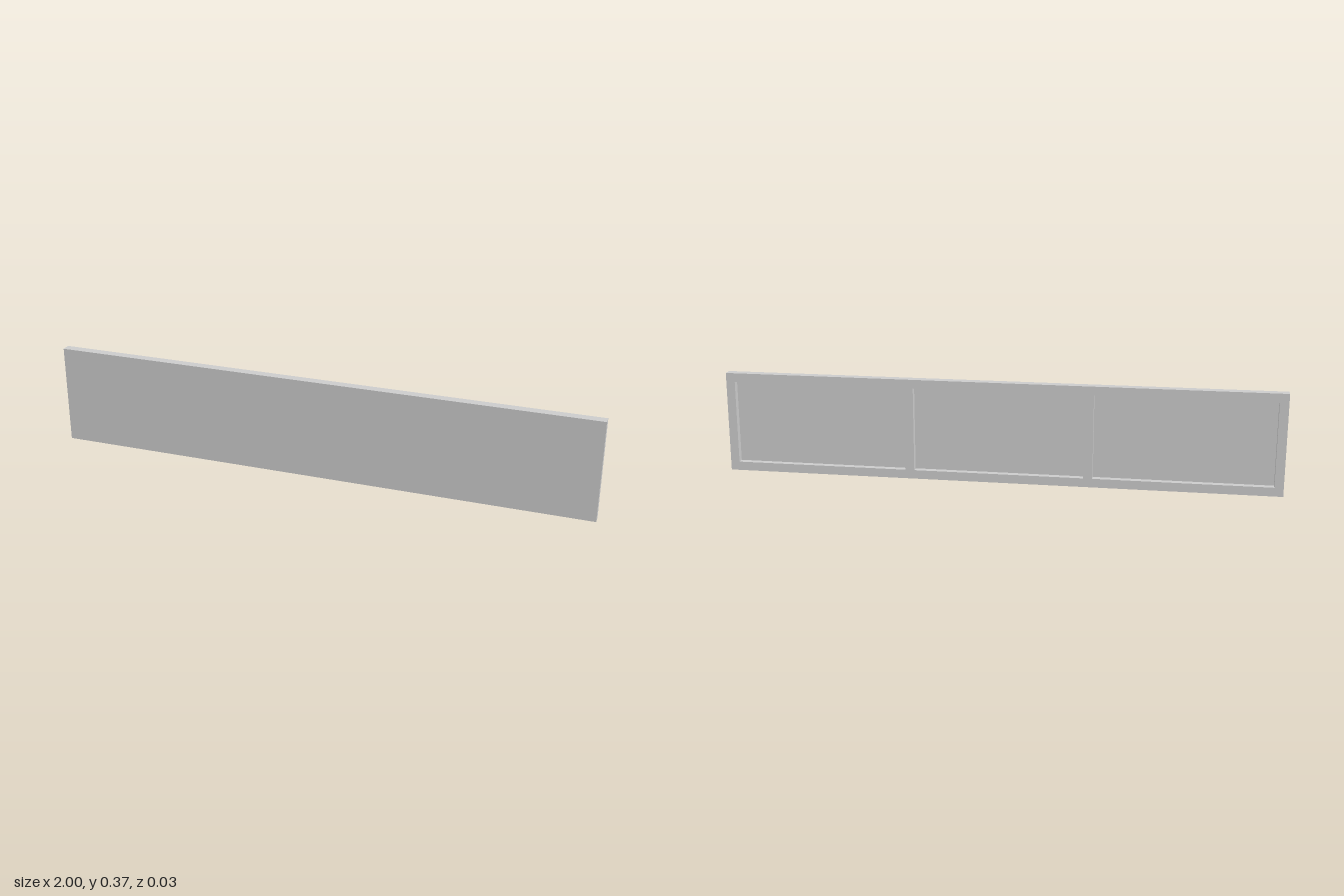
import * as THREE from 'three';

const WIDTH = 2, HEIGHT = 0.367, DEPTH = 0.033;
const RIM = 0.032;      // border and divider width
const RECESS = 0.023;   // depth of the pockets in the back
const DIVIDER_X = 0.322;

const rectangle = (path, x0, y0, x1, y1) =>
  path.moveTo(x0, y0).lineTo(x1, y0).lineTo(x1, y1).lineTo(x0, y1).closePath();

export function createModel() {
  const group = new THREE.Group();
  group.name = 'recessedPanel';
  const material = new THREE.MeshStandardMaterial({ color: 0xcccccc, flatShading: true });

  // Smooth front face
  const skin = DEPTH - RECESS;
  const frontPanel = new THREE.Mesh(new THREE.BoxGeometry(WIDTH, HEIGHT, skin), material);
  frontPanel.name = 'frontPanel';
  frontPanel.position.set(0, HEIGHT / 2, DEPTH / 2 - skin / 2);
  group.add(frontPanel);

  // Back frame: border with two dividers around three pockets
  const outline = new THREE.Shape();
  rectangle(outline, -WIDTH / 2, 0, WIDTH / 2, HEIGHT);
  const centres = [-WIDTH / 2 + RIM / 2, -DIVIDER_X, DIVIDER_X, WIDTH / 2 - RIM / 2];
  for (let i = 0; i < 3; i++) {
    const pocket = new THREE.Path();
    rectangle(pocket, centres[i] + RIM / 2, RIM, centres[i + 1] - RIM / 2, HEIGHT - RIM);
    outline.holes.push(pocket);
  }
  const backFrame = new THREE.Mesh(
    new THREE.ExtrudeGeometry(outline, { depth: RECESS, bevelEnabled: false }), material);
  backFrame.name = 'backFrame';
  backFrame.position.z = -DEPTH / 2;
  group.add(backFrame);

  return group;
}
